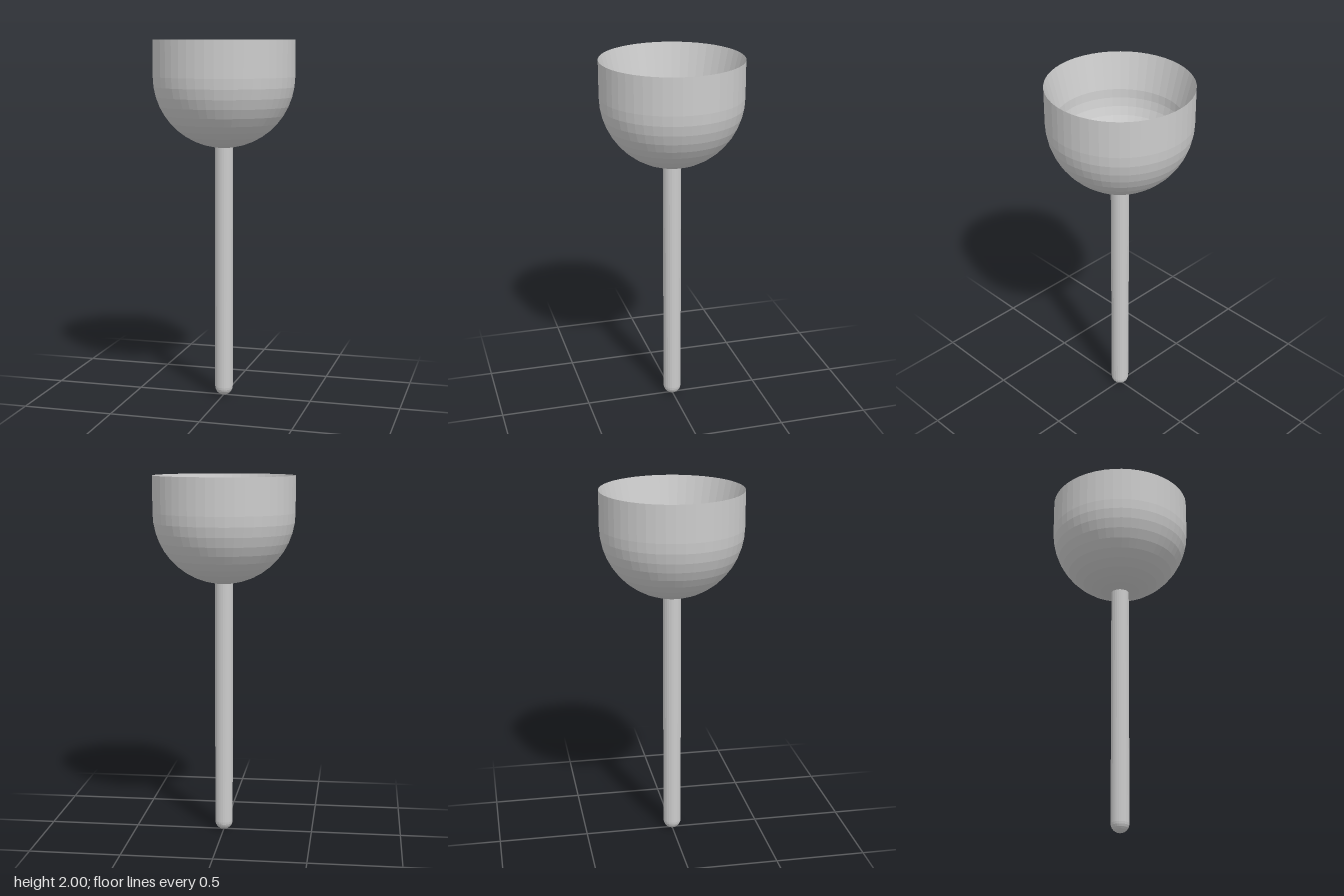
import * as THREE from 'three';

const material = new THREE.MeshStandardMaterial({ color: 0xcccccc, flatShading: true });

// Quarter-circle profile from the lowest point on the axis out to the full radius
function quarterArc(radius, centreY, steps) {
  return Array.from({ length: steps + 1 }, (_, i) => {
    const a = (i / steps) * Math.PI / 2;
    return new THREE.Vector2(radius * Math.sin(a), centreY - radius * Math.cos(a));
  });
}

function lathe(name, profile, segments) {
  const mesh = new THREE.Mesh(new THREE.LatheGeometry(profile, segments), material);
  mesh.name = name;
  return mesh;
}

export function createModel() {
  const group = new THREE.Group();
  group.name = 'bowlOnStem';

  const outerR = 0.39, innerR = 0.34, shoulderY = 1.8, rimY = 2;
  const stemR = 0.05, stemTop = 1.43;

  // Bowl: round outside with a straight collar, sharp rim, then a flared throat into a round inside
  group.add(lathe('bowl', [
    ...quarterArc(outerR, shoulderY, 11),
    new THREE.Vector2(outerR, rimY),
    ...quarterArc(innerR, shoulderY, 11).reverse(),
  ], 48));

  // Stem: slim rod with a rounded foot, its top seated in the bowl's wall
  group.add(lathe('stem', [
    ...quarterArc(stemR, stemR, 6),
    new THREE.Vector2(stemR, stemTop),
    new THREE.Vector2(0, stemTop),
  ], 24));

  return group;
}
